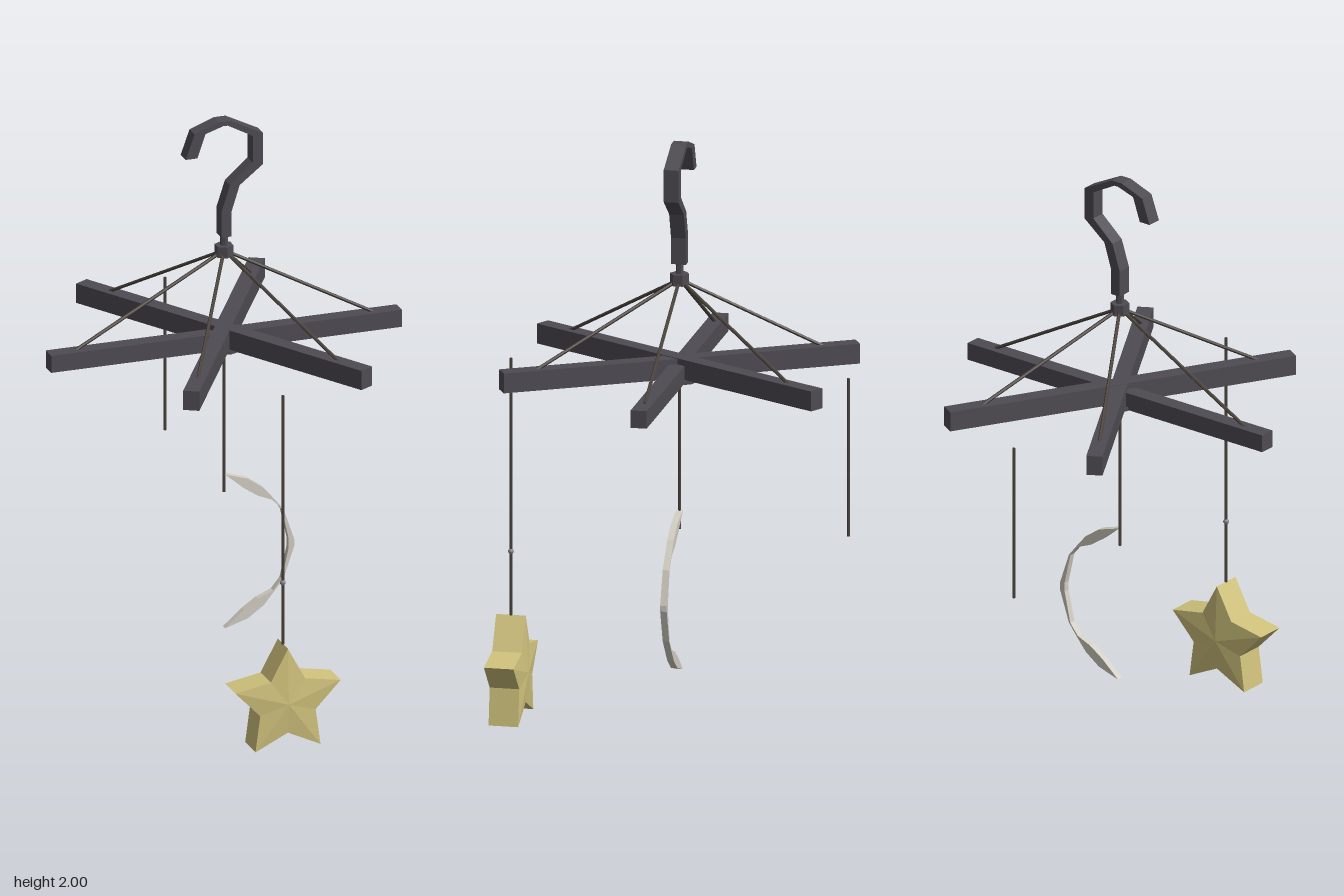
import * as THREE from 'three';

export function createModel() {
  const root = new THREE.Group();
  root.name = 'hangingMobile';
  const mat = (name, color) => {
    const m = new THREE.MeshStandardMaterial({ color, flatShading: true });
    m.name = name;
    return m;
  };
  const frameMat = mat('darkFrame', 0x4e4b52);
  const cordMat = mat('brownCord', 0x4a423b);
  const starMat = mat('paleGold', 0xd0c27c);
  const moonMat = mat('paleSilver', 0xd2cdc2);
  const beadMat = mat('greyBead', 0x86848c);
  const CZ = -0.028; // z of the frame's axis

  const add = (name, geometry, material, x = 0, y = 0, z = 0) => {
    const m = new THREE.Mesh(geometry, material);
    m.name = name;
    m.position.set(x, y, z);
    root.add(m);
    return m;
  };
  // Thin rod between two points
  const rod = (name, a, b, radius) => {
    const d = b.clone().sub(a);
    const m = add(name, new THREE.CylinderGeometry(radius, radius, d.length(), 6), cordMat);
    m.position.copy(a).add(b).multiplyScalar(0.5);
    m.quaternion.setFromUnitVectors(new THREE.Vector3(0, 1, 0), d.normalize());
  };
  // Flat outline given thickness, centred on z
  const slab = (name, points, depth, material, y, z) => {
    const shape = new THREE.Shape(points.map(([px, py]) => new THREE.Vector2(px, py)));
    const g = new THREE.ExtrudeGeometry(shape, { depth, bevelEnabled: false });
    g.translate(0, 0, -depth / 2);
    return add(name, g, material, 0, y, z);
  };

  // Three crossed beams and the support rods above each half
  for (let i = 0; i < 3; i++) {
    const angle = i * Math.PI / 3;
    const y = i === 0 ? 1.222 : 1.24 - 0.002 * i;
    const beam = add('beam', new THREE.BoxGeometry(1.23, i === 0 ? 0.06 : 0.068, 0.054), frameMat, 0, y, CZ);
    beam.rotation.y = angle;
    for (const s of [-1, 1]) {
      const r = s * (i === 0 ? 0.52 : 0.495);
      rod('supportRod', new THREE.Vector3(0, 1.535, CZ),
        new THREE.Vector3(r * Math.cos(angle), i === 0 ? 1.25 : 1.265, CZ - r * Math.sin(angle)), 0.006);
    }
  }

  // Hub plate, collar and neck
  add('hubPlate', new THREE.CylinderGeometry(0.068, 0.068, 0.012, 8), frameMat, 0, 1.196, CZ);
  add('collar', new THREE.CylinderGeometry(0.032, 0.032, 0.038, 6), frameMat, 0, 1.536, CZ);
  add('neck', new THREE.CylinderGeometry(0.013, 0.013, 0.06, 6), frameMat, 0, 1.572, CZ);

  // Ceiling hook
  slab('hook', [
    [0.018, 1.59], [0.018, 1.68], [0.046, 1.768], [0.128, 1.832], [0.128, 1.942], [0.014, 2], [-0.026, 2],
    [-0.112, 1.968], [-0.143, 1.882], [-0.102, 1.882], [-0.074, 1.964], [-0.012, 1.984],
    [0.004, 1.984], [0.092, 1.936], [0.092, 1.842], [0.012, 1.772], [-0.018, 1.68], [-0.018, 1.59],
  ], 0.05, frameMat, 0, CZ);

  // Hanging cords
  const cord = (name, z, top, bottom) =>
    rod(name, new THREE.Vector3(0, bottom, z), new THREE.Vector3(0, top, z), 0.005);
  cord('moonCord', CZ, 1.23, 0.68);
  cord('backCord', -0.598, 1.23, 0.69);
  cord('starCord', 0.542, 1.23, 0.35);
  add('bead', new THREE.SphereGeometry(0.01, 8, 6), beadMat, 0, 0.568, 0.542);

  // Crescent moon: mirrored outer and inner edges
  const outer = [[0, 0.272], [0.08, 0.247], [0.135, 0.208], [0.175, 0.16], [0.205, 0.122], [0.243, 0.01]];
  const inner = [[0.223, 0.015], [0.199, 0.122], [0.168, 0.16], [0.115, 0.182], [0.065, 0.216]];
  const flip = (list) => list.map(([x, y]) => [x, -y]).reverse();
  slab('crescentMoon', [...outer, ...flip(outer), ...flip(inner), ...inner], 0.022, moonMat, 0.4725, CZ);

  // Star: ten rim points, raised centres front and back
  const rim = [];
  for (let i = 0; i < 10; i++) {
    const a = Math.PI / 2 + i * Math.PI / 5;
    const r = i % 2 ? 0.102 : 0.194;
    rim.push([r * Math.cos(a), r * Math.sin(a)]);
  }
  const h = 0.05, c = 0.06, pos = [];
  rim.forEach(([ax, ay], i) => {
    const [bx, by] = rim[(i + 1) % 10];
    pos.push(0, 0, c, ax, ay, h, bx, by, h);
    pos.push(0, 0, -c, bx, by, -h, ax, ay, -h);
    pos.push(ax, ay, h, ax, ay, -h, bx, by, -h);
    pos.push(ax, ay, h, bx, by, -h, bx, by, h);
  });
  const starGeo = new THREE.BufferGeometry();
  starGeo.setAttribute('position', new THREE.Float32BufferAttribute(pos, 3));
  starGeo.computeVertexNormals();
  add('star', starGeo, starMat, 0, 0.157, 0.542);

  return root;
}
